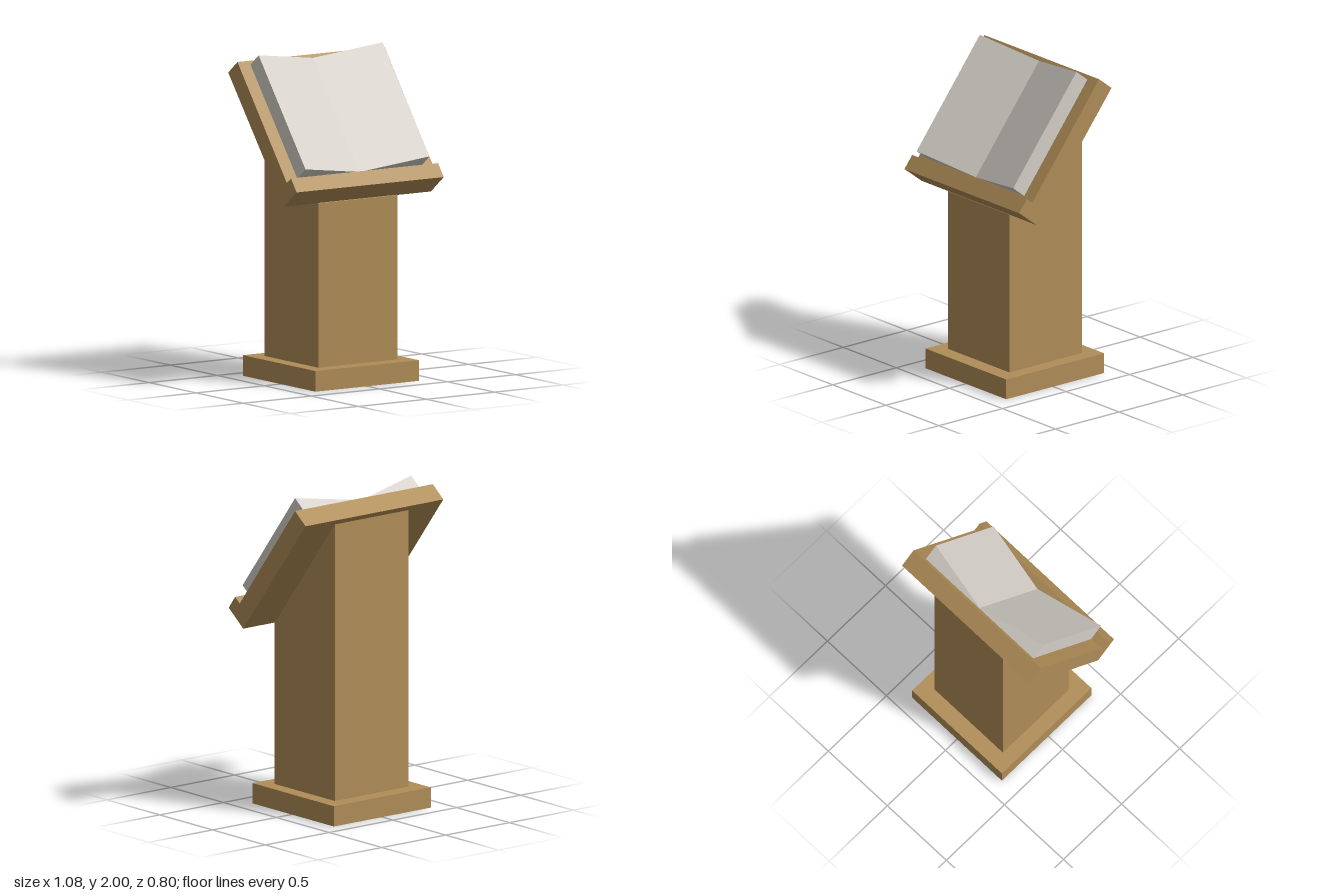
import * as THREE from 'three';

const wood = new THREE.MeshStandardMaterial({ color: 0xb08d57 });
wood.name = 'wood';
const paper = new THREE.MeshStandardMaterial({ color: 0xd6d1c9 });
paper.name = 'paper';

const TILT = 0.906; // slope of the reading desk

function prism(points, depth) {
  const shape = new THREE.Shape(points.map(([a, b]) => new THREE.Vector2(a, b)));
  return new THREE.ExtrudeGeometry(shape, { depth, bevelEnabled: false });
}

// Side profile given as (z, y), extruded across x and centred.
function sideProfile(name, points, width) {
  const geometry = prism(points, width);
  geometry.translate(0, 0, -width / 2).rotateY(-Math.PI / 2);
  const mesh = new THREE.Mesh(geometry, wood);
  mesh.name = name;
  return mesh;
}

export function createModel() {
  const group = new THREE.Group();
  group.name = 'lectern';

  // Plinth
  const base = new THREE.Mesh(new THREE.BoxGeometry(0.76, 0.126, 0.77), wood);
  base.name = 'base';
  base.position.set(0, 0.063, -0.015);
  group.add(base);

  // Post with a slanted top that meets the desk
  group.add(sideProfile('post', [[-0.3, 0.126], [0.27, 0.126], [0.27, 1.13], [-0.3, 1.85]], 0.58));

  // Sloping desk with a lip along its lower edge
  group.add(sideProfile('desk', [
    [0.265, 1.13], [0.402, 1.235], [0.342, 1.313], [0.298, 1.28], [-0.227, 1.953], [-0.325, 1.876],
  ], 1.08));

  // Open book: thick at the outer edges, thin at the spine
  const book = new THREE.Mesh(
    prism([[-0.457, 0], [0.453, 0], [0.453, 0.11], [0, 0.003], [-0.457, 0.11]], 0.806), paper);
  book.name = 'openBook';
  book.rotation.x = TILT;
  book.position.set(0, 1.932, -0.208);
  group.add(book);

  return group;
}
